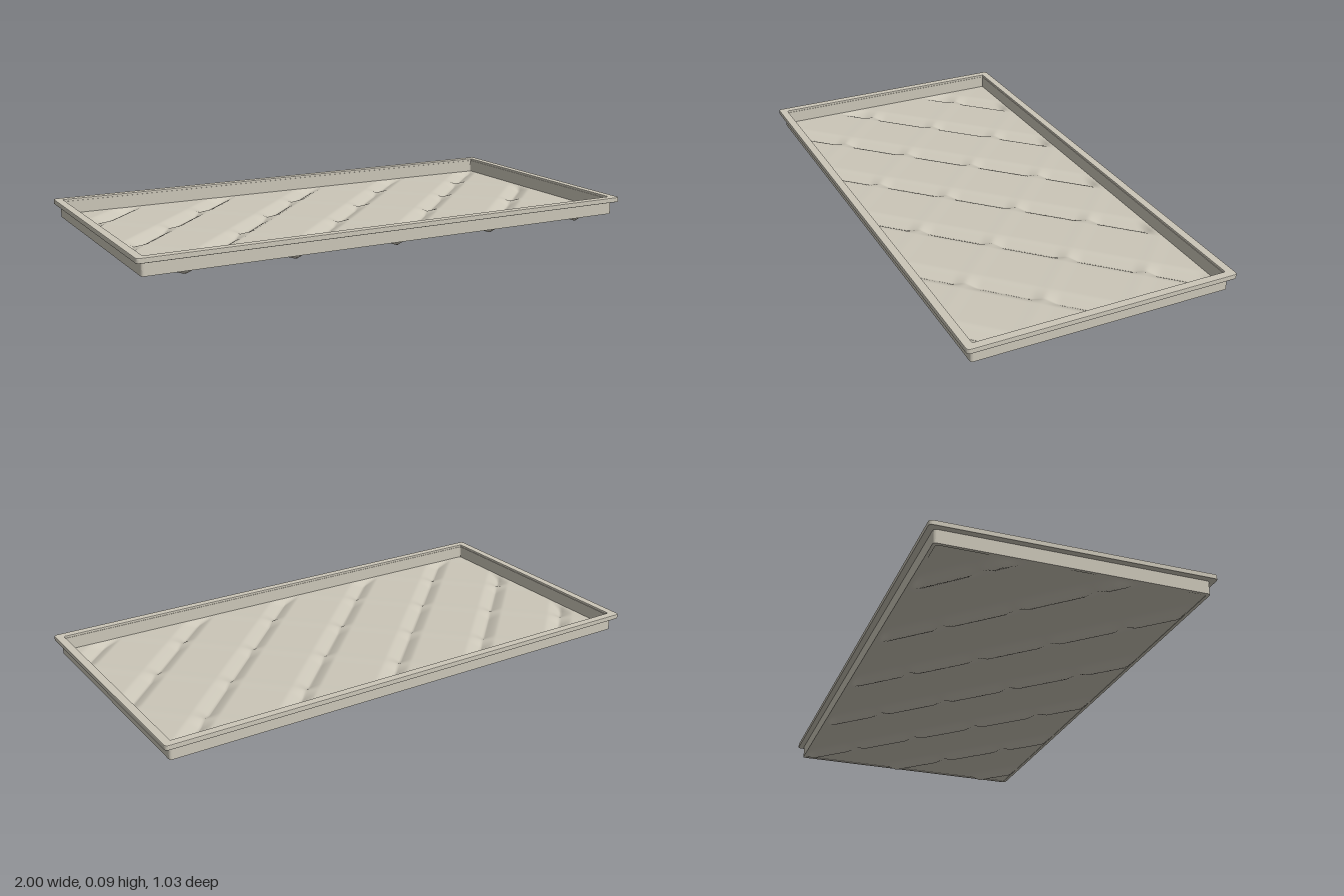
import * as THREE from 'three';

const HX = 0.972, HZ = 0.487;   // half size of the pan
const PITCH = 0.41;             // spacing of the diagonal pattern

// Distance to the nearest line of a family of evenly spaced lines
const lineDistance = (v, offset) => {
  const t = (v - offset) / PITCH;
  return Math.abs(t - Math.round(t)) * PITCH * Math.SQRT1_2;
};

// Depth of the floor below its flat level: diagonal channels pinched by faint cross ridges
function floorDepth(x, z) {
  const edge = Math.min(HX - Math.abs(x), HZ - Math.abs(z));
  const fade = THREE.MathUtils.clamp((edge - 0.008) / 0.022, 0, 1);
  const channel = Math.max(0, 1 - lineDistance(x + z, 0.05) / 0.05);
  const ridge = Math.max(0, 1 - lineDistance(x - z, -0.17) / 0.045);
  return fade * (0.024 * Math.pow(channel, 1.3) * (1 - 0.55 * ridge) - 0.001 * ridge);
}

// Sheet that follows the channels, facing up or down
function floorSheet(level, facesUp) {
  const geo = new THREE.PlaneGeometry(2 * HX, 2 * HZ, 220, 110);
  geo.rotateX(facesUp ? -Math.PI / 2 : Math.PI / 2);
  const p = geo.attributes.position;
  for (let i = 0; i < p.count; i++) p.setY(i, level - floorDepth(p.getX(i), p.getZ(i)));
  geo.computeVertexNormals();
  return geo;
}

// Rounded rectangle outline
function outline(path, hx, hz, r) {
  path.moveTo(-hx + r, -hz);
  path.lineTo(hx - r, -hz);
  path.quadraticCurveTo(hx, -hz, hx, -hz + r);
  path.lineTo(hx, hz - r);
  path.quadraticCurveTo(hx, hz, hx - r, hz);
  path.lineTo(-hx + r, hz);
  path.quadraticCurveTo(-hx, hz, -hx, hz - r);
  path.lineTo(-hx, -hz + r);
  path.quadraticCurveTo(-hx, -hz, -hx + r, -hz);
  return path;
}

// Rectangular frame lying flat, from y0 to y1, with a small bevel
function frame(hx, hz, width, r, y0, y1, bevel) {
  const shape = outline(new THREE.Shape(), hx - bevel, hz - bevel, r);
  shape.holes.push(outline(new THREE.Path(), hx - width + bevel, hz - width + bevel, r * 0.6));
  const geo = new THREE.ExtrudeGeometry(shape, {
    depth: y1 - y0 - 2 * bevel, curveSegments: 5,
    bevelEnabled: bevel > 0, bevelThickness: bevel, bevelSize: bevel, bevelSegments: 2,
  });
  return geo.rotateX(-Math.PI / 2).translate(0, y0 + bevel, 0);
}

export function createModel() {
  const plastic = new THREE.MeshStandardMaterial({ color: 0xcbc6b8 });
  plastic.name = 'warm grey plastic';
  const tray = new THREE.Group();
  tray.name = 'tray';
  const add = (name, geo) => {
    const mesh = new THREE.Mesh(geo, plastic);
    mesh.name = name;
    tray.add(mesh);
  };

  add('floorTop', floorSheet(0.036, true));
  add('floorUnderside', floorSheet(0.027, false));
  add('sideWalls', frame(0.978, 0.492, 0.012, 0.012, 0.025, 0.085, 0));
  add('rim', frame(1.0, 0.514, 0.032, 0.012, 0.075, 0.094, 0.003));
  return tray;
}
